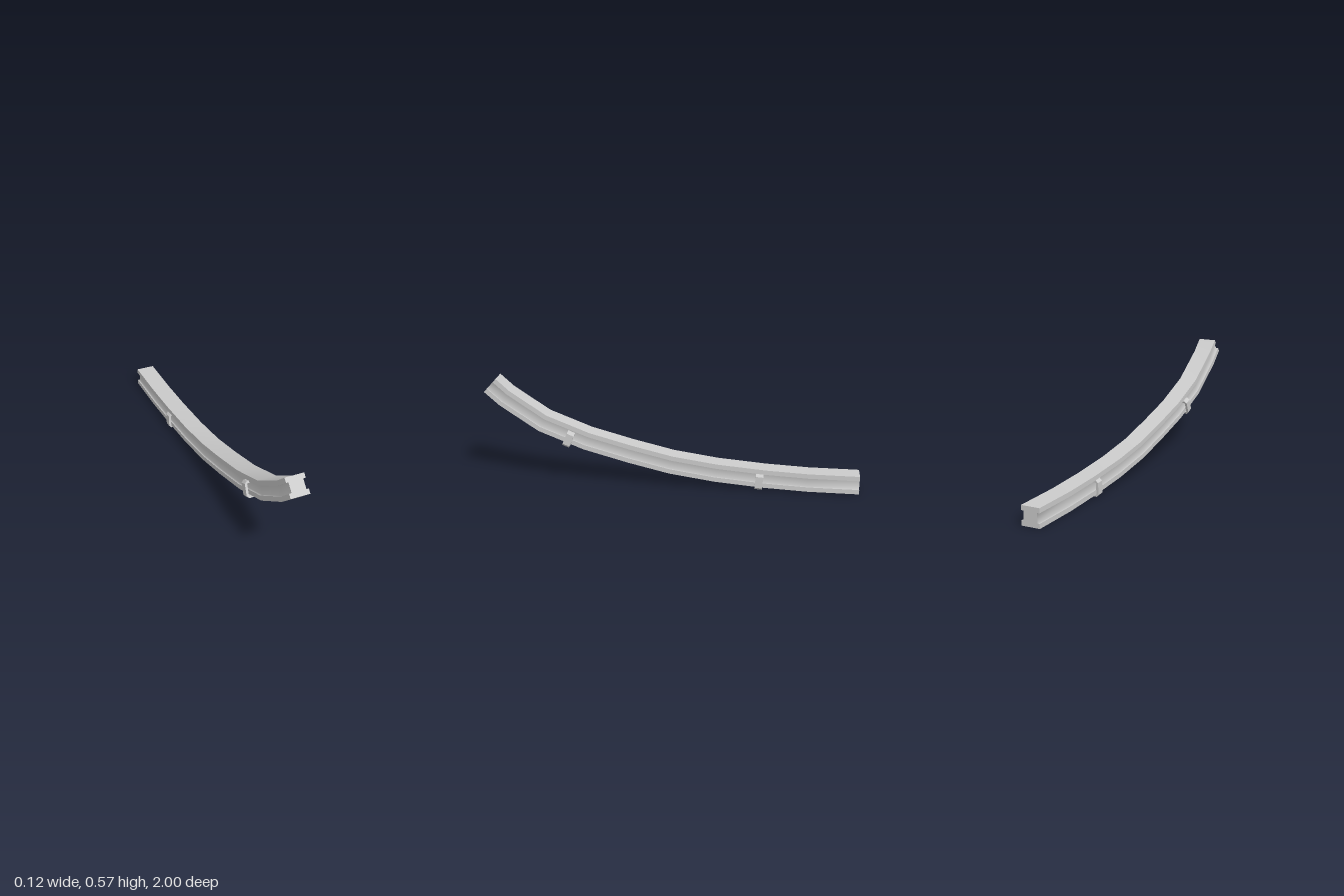
import * as THREE from 'three';

const material = new THREE.MeshStandardMaterial({ color: 0xcccccc });

// Centre line of the beam as [z, y], from the level back end to the raised front
const path = [[-1, 0.05], [-0.73, 0.053], [-0.5, 0.065], [-0.24, 0.088], [0, 0.124],
  [0.22, 0.177], [0.455, 0.242], [0.69, 0.335], [0.89, 0.469], [0.965, 0.537]];

// Cross-section, counter-clockwise in [x, y]: a square with a groove in each side
const W = 0.05, G = 0.0375, H = 0.025;
const right = [[W, -W], [W, -H], [G, -H], [G, H], [W, H], [W, W]];
const profile = [...right, ...right.map(([x, y]) => [-x, -y])];

// Stations with slope angle averaged from the neighbouring segments
const stations = path.map(([z, y], i) => {
  const a = path[Math.max(i - 1, 0)], b = path[Math.min(i + 1, path.length - 1)];
  return { z, y, angle: i === 0 ? 0 : Math.atan2(b[1] - a[1], b[0] - a[0]) };
});

// Sweep an open run of profile points along the stations, smooth within the run
function sweepRun(run) {
  const positions = [], index = [], n = run.length;
  for (const { z, y, angle } of stations) {
    for (const [px, py] of run) positions.push(px, y + py * Math.cos(angle), z - py * Math.sin(angle));
  }
  for (let i = 0; i < stations.length - 1; i++) {
    for (let j = 0; j < n - 1; j++) {
      const a = i * n + j, b = a + 1, c = a + n, d = c + 1;
      index.push(a, b, c, b, d, c);
    }
  }
  const geometry = new THREE.BufferGeometry();
  geometry.setAttribute('position', new THREE.Float32BufferAttribute(positions, 3));
  geometry.setIndex(index);
  geometry.computeVertexNormals();
  return geometry;
}

function addMesh(parent, name, geometry) {
  const mesh = new THREE.Mesh(geometry, material);
  mesh.name = name;
  parent.add(mesh);
  return mesh;
}

const toShape = (points) => new THREE.Shape(points.map(([x, y]) => new THREE.Vector2(x, y)));

function createBeam() {
  const beam = new THREE.Group();
  beam.name = 'beam';
  // Flat faces and grooves, with sharp edges between the runs
  const names = ['lowerFlange', 'groove', 'upperFlange', 'face'];
  for (const [side, start] of [['left', 0], ['right', 6]]) {
    const runs = [[0, 1], [1, 2, 3, 4], [4, 5], [5, 6]];
    runs.forEach((run, k) => {
      const points = run.map((i) => profile[(start + i) % profile.length]);
      const name = k === 3 ? (side === 'left' ? 'topFace' : 'bottomFace') : `${side} ${names[k]}`;
      addMesh(beam, name, sweepRun(points));
    });
  }
  // End caps
  const first = stations[0], last = stations[stations.length - 1];
  const front = addMesh(beam, 'frontEnd', new THREE.ShapeGeometry(toShape(profile)));
  front.position.set(0, last.y, last.z);
  front.rotation.x = -last.angle;
  const back = addMesh(beam, 'backEnd', new THREE.ShapeGeometry(toShape(profile)).rotateY(Math.PI));
  back.position.set(0, first.y, first.z);
  return beam;
}

// U-shaped clip under the beam, with chamfered corners and hooks in the grooves
function createClip(name, y, z, angle) {
  const T = 0.0625, length = 0.04;
  const outer = [[W, -T], [T, -W], [T, 0.0125], [W, 0.025], [G, 0.025], [G, 0.0125], [W, 0.0125], [W, -W]];
  const mirrored = outer.map(([x, v]) => [-x, v]).reverse();
  const geometry = new THREE.ExtrudeGeometry(toShape([...outer, ...mirrored]), { depth: length, bevelEnabled: false });
  geometry.translate(0, 0, -length / 2);
  const clip = new THREE.Mesh(geometry, material);
  clip.name = name;
  clip.position.set(0, y, z);
  clip.rotation.x = -angle;
  return clip;
}

export function createModel() {
  const model = new THREE.Group();
  model.name = 'curvedBeam';
  model.add(createBeam());
  model.add(createClip('frontClip', 0.2665, 0.5435, 0.41));
  model.add(createClip('backClip', 0.067, -0.473, 0.09));
  return model;
}
